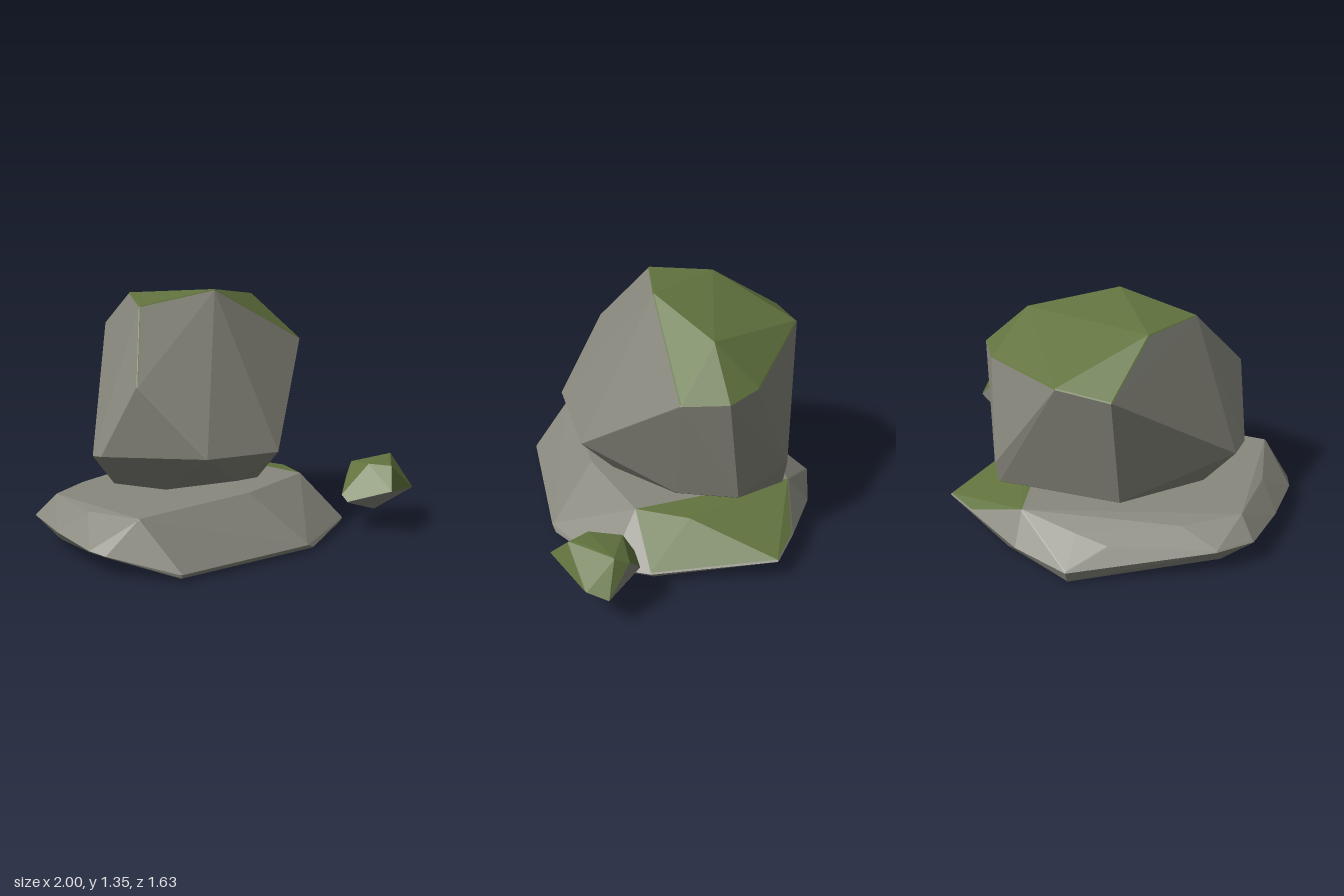
import * as THREE from 'three';
import { ConvexGeometry } from 'three/addons/geometries/ConvexGeometry.js';

const stone = new THREE.MeshStandardMaterial({ color: 0x88887e });
const moss = new THREE.MeshStandardMaterial({ color: 0x62743f });

// Convex rock with softly worn corners; facets passing isMossy(normal, centre) go to the moss mesh
function makeRock(name, corners, wear, isMossy) {
  const pts = corners.map(c => new THREE.Vector3(...c));
  const middle = new THREE.Box3().setFromPoints(pts).getCenter(new THREE.Vector3());
  const cloud = [];
  for (const p of pts) {
    // pull each corner in, then swell it into a tiny octahedron
    const inner = p.clone().add(new THREE.Vector3(
      -wear * Math.sign(p.x - middle.x), -wear * Math.sign(p.y - middle.y), -wear * Math.sign(p.z - middle.z)));
    for (const axis of ['x', 'y', 'z']) for (const s of [-wear, wear]) {
      const q = inner.clone();
      q[axis] += s;
      cloud.push(q);
    }
  }
  const hull = new ConvexGeometry(cloud).attributes.position;
  const parts = { Stone: [], Moss: [] };
  const tri = new THREE.Triangle(), n = new THREE.Vector3(), mid = new THREE.Vector3();
  for (let i = 0; i < hull.count; i += 3) {
    tri.setFromAttributeAndIndices(hull, i, i + 1, i + 2);
    tri.getNormal(n);
    tri.getMidpoint(mid);
    const list = isMossy(n, mid) ? parts.Moss : parts.Stone;
    for (const v of [tri.a, tri.b, tri.c]) list.push(v.x, v.y, v.z);
  }
  const rock = new THREE.Group();
  rock.name = name;
  for (const [kind, list] of Object.entries(parts)) {
    const geo = new THREE.BufferGeometry();
    geo.setAttribute('position', new THREE.Float32BufferAttribute(list, 3));
    geo.computeVertexNormals();
    const mesh = new THREE.Mesh(geo, kind === 'Moss' ? moss : stone);
    mesh.name = name + kind;
    rock.add(mesh);
  }
  return rock;
}

export function createModel() {
  const model = new THREE.Group();
  model.name = 'stackedRocks';

  // Tall leaning boulder
  model.add(makeRock('boulder', [
    // crown
    [-0.03, 1.345, 0.10], [-0.48, 1.285, 0.02], [0.42, 1.265, -0.12], [-0.31, 1.31, -0.31],
    // shoulders
    [-0.22, 1.10, -0.66], [0.08, 1.14, -0.675], [0.555, 1.045, -0.32],
    [0.655, 1.03, -0.14], [0.59, 1.02, 0.11], [-0.68, 0.92, 0.26],
    // lower edge
    [0.05, 0.51, 0.53], [-0.46, 0.55, 0.545], [-0.765, 0.52, 0.06], [-0.74, 0.5, -0.05],
    [0.485, 0.5, -0.515], [0.61, 0.41, -0.21],
    // underside
    [0.47, 0.37, -0.5], [-0.22, 0.37, -0.5], [-0.58, 0.32, -0.1], [-0.4, 0.30, 0.13],
    [-0.12, 0.355, 0.39], [0.06, 0.34, 0.36], [0.36, 0.32, 0.08], [0.3, 0.30, -0.22],
  ], 0.006, (n, c) => n.y > 0.5 && n.z < 0.7 && c.y > 1.03));

  // Wide flat slab underneath
  model.add(makeRock('slab', [
    // rim
    [0, 0.08, -0.815], [0.32, 0.10, -0.71], [0.65, 0.13, -0.51], [0.825, 0.11, -0.375],
    [0.68, 0.04, 0.3], [0.57, 0.04, 0.5], [0.1, 0.03, 0.72], [-0.73, 0.03, 0.675],
    [-0.97, 0.10, 0.38], [-1.0, 0.11, 0.28], [-0.98, 0.13, -0.05], [-0.92, 0.16, -0.35], [-0.76, 0.16, -0.49],
    // foot
    [0, 0, -0.78], [0.4, 0.01, -0.6], [0.68, 0.02, -0.2], [0.67, 0.02, 0.28], [0.55, 0.02, 0.5],
    [0.15, 0.01, 0.71], [-0.73, 0.015, 0.67], [-0.95, 0.08, 0.2], [-0.93, 0.075, -0.1], [-0.76, 0.03, -0.39],
    // top
    [-0.82, 0.29, 0.45], [-0.1, 0.30, 0.46], [0.42, 0.295, 0.32], [0.54, 0.27, 0.05], [0.5, 0.225, -0.42],
    [0.32, 0.275, -0.59], [0.0, 0.22, -0.64], [-0.2, 0.19, -0.66], [-0.55, 0.25, -0.45],
    [-0.84, 0.27, -0.28], [-0.88, 0.26, 0.1],
  ], 0.008, (n, c) => n.y > 0.7 && c.x > 0.28));

  // Little mossy stone beside the slab
  model.add(makeRock('smallStone', [
    [0.64, 0.37, 0.62], [0.7, 0.37, 0.735], [0.76, 0.375, 0.66], [0.91, 0.375, 0.53],
    [0.68, 0.345, 0.44], [0.9, 0.33, 0.45],
    [0.62, 0.26, 0.815], [0.495, 0.17, 0.61], [0.5, 0.2, 0.55], [0.7, 0.25, 0.385], [0.84, 0.23, 0.385],
    [1.0, 0.18, 0.58], [0.93, 0.2, 0.69], [0.8, 0.09, 0.54], [0.66, 0.115, 0.65],
  ], 0.005, n => n.y > 0.25));

  return model;
}
